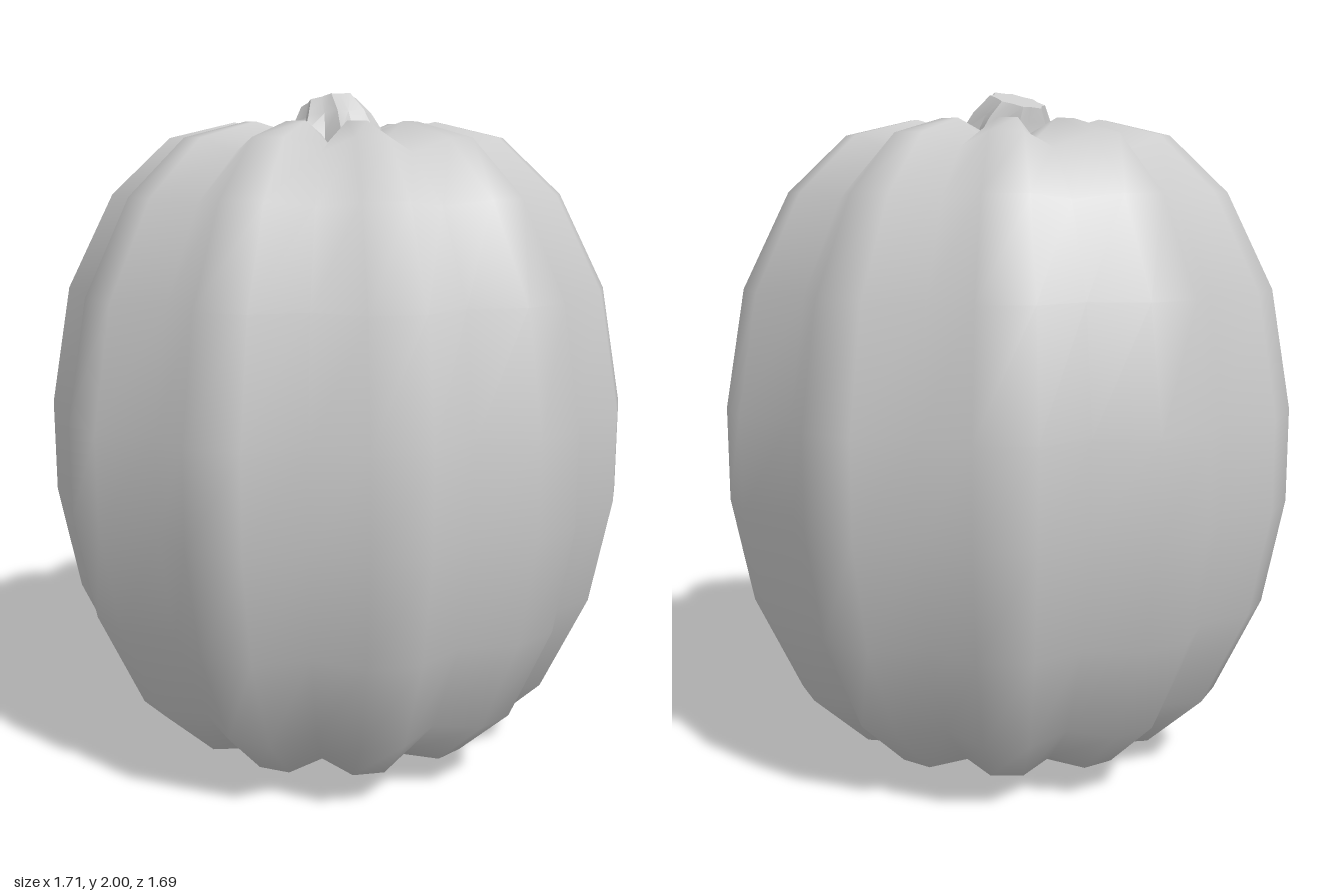
import * as THREE from 'three';
import { toCreasedNormals } from 'three/addons/utils/BufferGeometryUtils.js';

const material = new THREE.MeshStandardMaterial({ color: 0xcccccc });

// Skins rings of n points, listed bottom to top; each end closes on a centre point if given.
function loft(rings, bottom, top) {
  const n = rings[0].length;
  const points = rings.flat();
  const index = [];
  for (let r = 0; r < rings.length - 1; r++) {
    for (let i = 0; i < n; i++) {
      const a = r * n + i, b = r * n + (i + 1) % n;
      index.push(a, a + n, b, b, a + n, b + n);
    }
  }
  const close = (centre, start, flip) => {
    const c = points.push(centre) - 1;
    for (let i = 0; i < n; i++) {
      const a = start + i, b = start + (i + 1) % n;
      if (flip) index.push(a, b, c); else index.push(a, c, b);
    }
  };
  if (bottom) close(bottom, 0, true);
  if (top) close(top, (rings.length - 1) * n, false);
  const geometry = new THREE.BufferGeometry().setFromPoints(points);
  geometry.setIndex(index);
  geometry.computeVertexNormals();
  return geometry;
}

// Ribbed body: 11 lobes, each a groove column followed by two crest columns.
function createBody() {
  const lobes = 11, n = lobes * 3;
  // crest radius, crest height, groove height shift
  const profile = [
    [0.11, 0.03, 0.02], [0.25, 0, 0.03], [0.49, 0.07, 0.03], [0.66, 0.23, 0.015],
    [0.795, 0.52, 0], [0.855, 0.83, 0], [0.855, 1.1, 0], [0.795, 1.44, 0],
    [0.66, 1.71, -0.015], [0.49, 1.87, -0.04], [0.3, 1.915, -0.06], [0.15, 1.88, -0.04],
  ];
  const rings = profile.map(([radius, y, shift]) =>
    Array.from({ length: n }, (_, i) => {
      const angle = (i / n) * Math.PI * 2;
      const groove = i % 3 === 0;
      const r = radius * (groove ? 0.907 : 1);
      return new THREE.Vector3(Math.sin(angle) * r, y + (groove ? shift : 0), -Math.cos(angle) * r);
    }));
  return loft(rings, new THREE.Vector3(0, 0.06, 0), new THREE.Vector3(0, 1.82, 0));
}

// Eight-ridged stem, leaning to -x with a slanted cut.
function createStem() {
  const n = 16;
  // centre x, centre y, centre z, ridge radius, groove radius, slope
  const sections = [
    [-0.01, 1.82, -0.01, 0.17, 0.125, 0],
    [-0.015, 1.88, -0.01, 0.145, 0.11, 0.05],
    [-0.035, 1.93, -0.015, 0.115, 0.092, 0.2],
    [-0.06, 1.975, -0.015, 0.082, 0.07, 0.33],
  ];
  const rings = sections.map(([cx, cy, cz, ridge, groove, slope]) =>
    Array.from({ length: n }, (_, i) => {
      const angle = (i / n) * Math.PI * 2 - 0.27;
      const r = i % 2 ? groove : ridge;
      const dx = Math.sin(angle) * r;
      return new THREE.Vector3(cx + dx, cy + dx * slope, cz - Math.cos(angle) * r);
    }));
  const [cx, cy, cz] = sections[sections.length - 1];
  return toCreasedNormals(loft(rings, null, new THREE.Vector3(cx, cy, cz)), 0.6);
}

export function createModel() {
  const model = new THREE.Group();
  model.name = 'pumpkin';
  const body = new THREE.Mesh(createBody(), material);
  body.name = 'body';
  const stem = new THREE.Mesh(createStem(), material);
  stem.name = 'stem';
  model.add(body, stem);
  return model;
}
